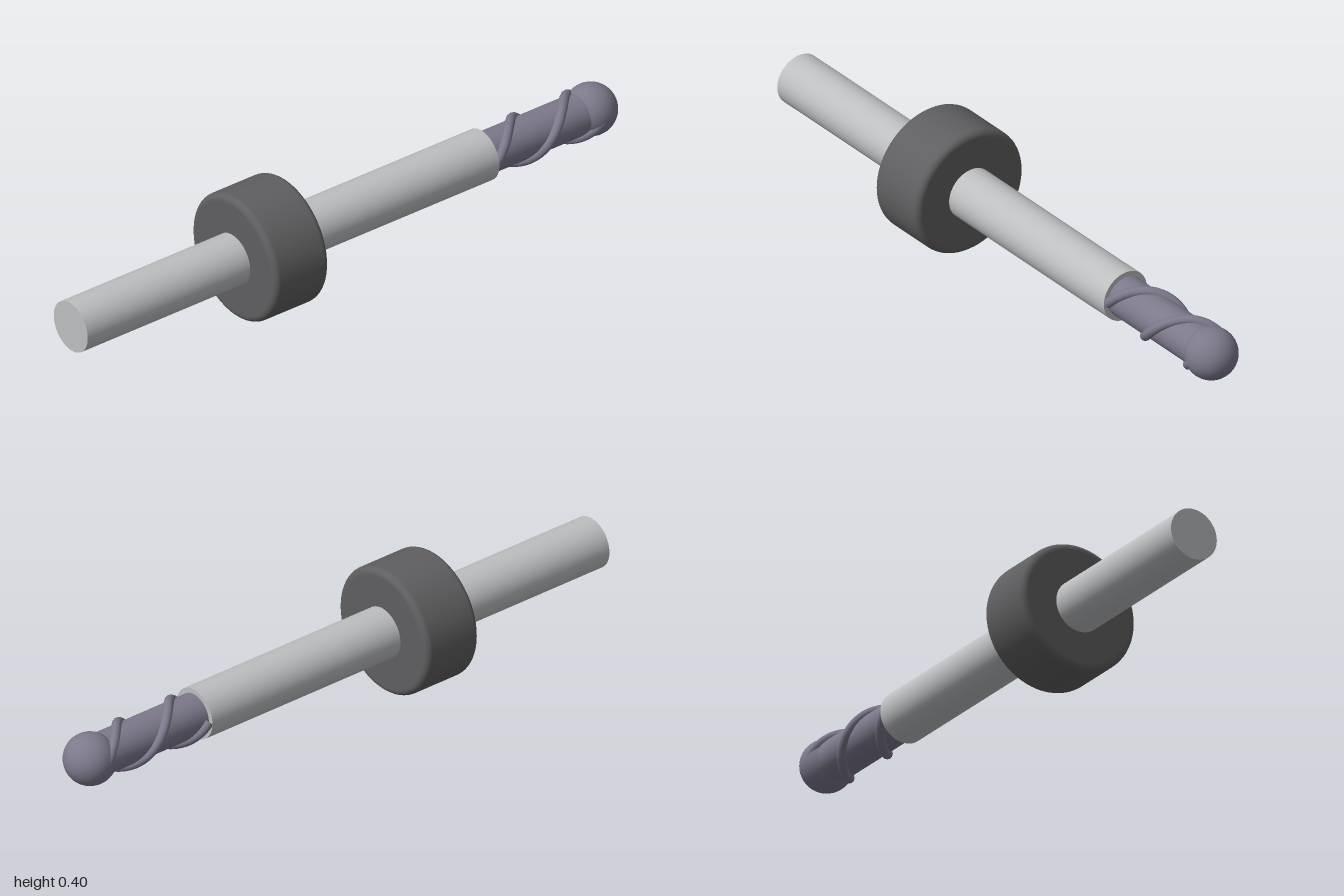
import * as THREE from 'three';

const AXIS_Y = 0.2;

export function createModel() {
  const model = new THREE.Group();
  const material = (name, color) => {
    const m = new THREE.MeshStandardMaterial({ color });
    m.name = name;
    return m;
  };
  const steel = material('light steel', 0xbcbec0);
  const rubber = material('dark grey collar', 0x5f5f61);
  const carbide = material('violet grey carbide', 0x7d798c);

  const add = (name, geometry, mat) => {
    const mesh = new THREE.Mesh(geometry, mat);
    mesh.name = name;
    mesh.position.y = AXIS_Y;
    model.add(mesh);
    return mesh;
  };
  // Cylinder lying along z between two depths
  const rod = (name, radius, z0, z1, mat) =>
    add(name, new THREE.CylinderGeometry(radius, radius, z1 - z0, 48)
      .rotateX(Math.PI / 2).translate(0, 0, (z0 + z1) / 2), mat);

  rod('shank', 0.08, -0.52, 1, steel);
  rod('fluteCore', 0.064, -0.88, -0.51, carbide);

  // Depth collar with rounded rims
  const R = 0.2, half = 0.1, bevel = 0.02;
  const profile = [new THREE.Vector2(0, -half), new THREE.Vector2(R - bevel - 0.002, -half)];
  for (const side of [-1, 1]) {
    for (let i = 0; i <= 6; i++) {
      const a = (side < 0 ? i - 6 : i) / 6 * Math.PI / 2;
      profile.push(new THREE.Vector2(
        R - bevel + bevel * Math.cos(a), side * (half - bevel) + bevel * Math.sin(a)));
    }
  }
  profile.push(new THREE.Vector2(R - bevel - 0.002, half), new THREE.Vector2(0, half));
  add('collar', new THREE.LatheGeometry(profile, 64)
    .rotateX(Math.PI / 2).translate(0, 0, 0.3), rubber);

  // Ball nose
  add('ballNose', new THREE.SphereGeometry(0.08, 40, 28)
    .rotateX(Math.PI / 2).translate(0, 0, -0.92), carbide);

  // Two opposite helical cutting ridges, one full turn each
  for (const start of [0, Math.PI]) {
    const points = [];
    for (let i = 0; i <= 40; i++) {
      const t = i / 40, a = start + t * Math.PI * 2;
      points.push(new THREE.Vector3(
        0.065 * Math.cos(a), 0.065 * Math.sin(a), -0.52 - 0.4 * t));
    }
    add(start ? 'cuttingRidgeB' : 'cuttingRidgeA',
      new THREE.TubeGeometry(new THREE.CatmullRomCurve3(points), 96, 0.015, 12), carbide);
  }
  return model;
}
